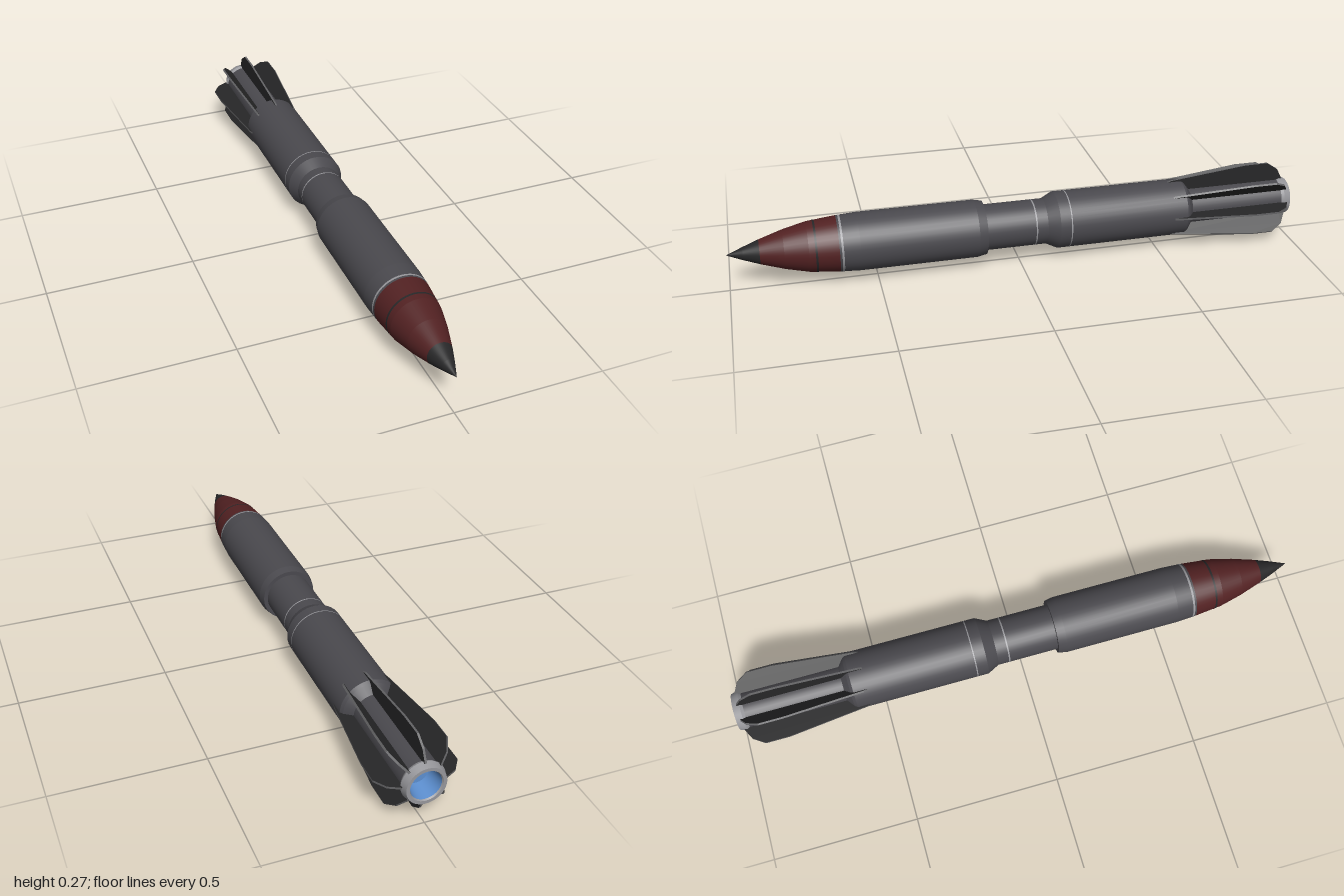
import * as THREE from 'three';

const AXIS_Y = 0.135; // height of the body's centre line
const SEGMENTS = 40;

function material(name, color) {
  const m = new THREE.MeshStandardMaterial({ color });
  m.name = name;
  return m;
}

export function createModel() {
  const grey = material('body grey', 0x4a494e);
  const red = material('dark red', 0x522122);
  const black = material('near black', 0x272728);
  const silver = material('light grey', 0x96969a);
  const edge = material('fin edge grey', 0x626264);
  const blue = material('exhaust blue', 0x5c8fd0);

  const model = new THREE.Group();
  model.name = 'missile';

  // Turned part along z; each profile span is its own mesh so its edges stay crisp.
  // Profile points are [radius, z], listed from tail to nose.
  function turned(name, mat, profile) {
    const group = new THREE.Group();
    group.name = name;
    for (let i = 0; i < profile.length - 1; i++) {
      const span = [profile[i], profile[i + 1]].map(([r, z]) => new THREE.Vector2(r, z));
      const geometry = new THREE.LatheGeometry(span, SEGMENTS);
      geometry.rotateX(Math.PI / 2);
      geometry.translate(0, AXIS_Y, 0);
      const mesh = new THREE.Mesh(geometry, mat);
      mesh.name = name;
      group.add(mesh);
    }
    model.add(group);
  }

  // Exhaust and tail
  turned('exhaustGlow', blue, [[0, -0.93], [0.042, -0.93], [0.05, -0.995]]);
  turned('nozzleRim', silver, [[0.05, -0.995], [0.053, -1], [0.064, -1], [0.071, -0.975], [0.066, -0.965]]);
  turned('tailTube', grey, [[0.066, -0.965], [0.066, -0.625]]);

  // Rear stage, narrow waist and front stage
  turned('rearStage', grey, [[0.066, -0.625], [0.093, -0.605], [0.1, -0.595], [0.1, -0.13]]);
  turned('waist', grey, [[0.1, -0.13], [0.08, -0.09], [0.08, 0.125], [0.094, 0.125], [0.1, 0.155]]);
  turned('frontStage', grey, [[0.1, 0.155], [0.1, 0.56], [0.096, 0.63]]);

  // Nose
  turned('warhead', red, [[0.096, 0.63], [0.086, 0.73], [0.067, 0.81], [0.042, 0.89]]);
  turned('noseTip', black, [[0.042, 0.89], [0.022, 0.945], [0, 1]]);

  // Thin painted rings
  turned('noseRing', black, [[0.0895, 0.702], [0.0888, 0.709]]);
  turned('collarRing', silver, [[0.0976, 0.616], [0.0971, 0.623]]);
  turned('rearRing', silver, [[0.1006, -0.172], [0.1006, -0.168]]);
  turned('waistRing', silver, [[0.0806, -0.052], [0.0806, -0.047]]);

  // Eight tail fins: outline in (radius, z), extruded to a thin plate
  const outline = [
    [0.06, -0.6], [0.098, -0.54], [0.104, -0.56], [0.135, -0.84],
    [0.135, -0.925], [0.108, -0.965], [0.07, -0.985], [0.06, -0.965],
  ].map(([r, z]) => new THREE.Vector2(r, z));
  const thickness = 0.007;
  const finGeometry = new THREE.ExtrudeGeometry(new THREE.Shape(outline), {
    depth: thickness, bevelEnabled: false,
  });
  finGeometry.translate(0, 0, -thickness / 2);
  finGeometry.rotateX(Math.PI / 2);
  for (let i = 0; i < 8; i++) {
    const fin = new THREE.Mesh(finGeometry, [black, edge]);
    fin.name = 'tailFin';
    fin.position.y = AXIS_Y;
    fin.rotation.z = (i * Math.PI) / 4;
    model.add(fin);
  }

  return model;
}
